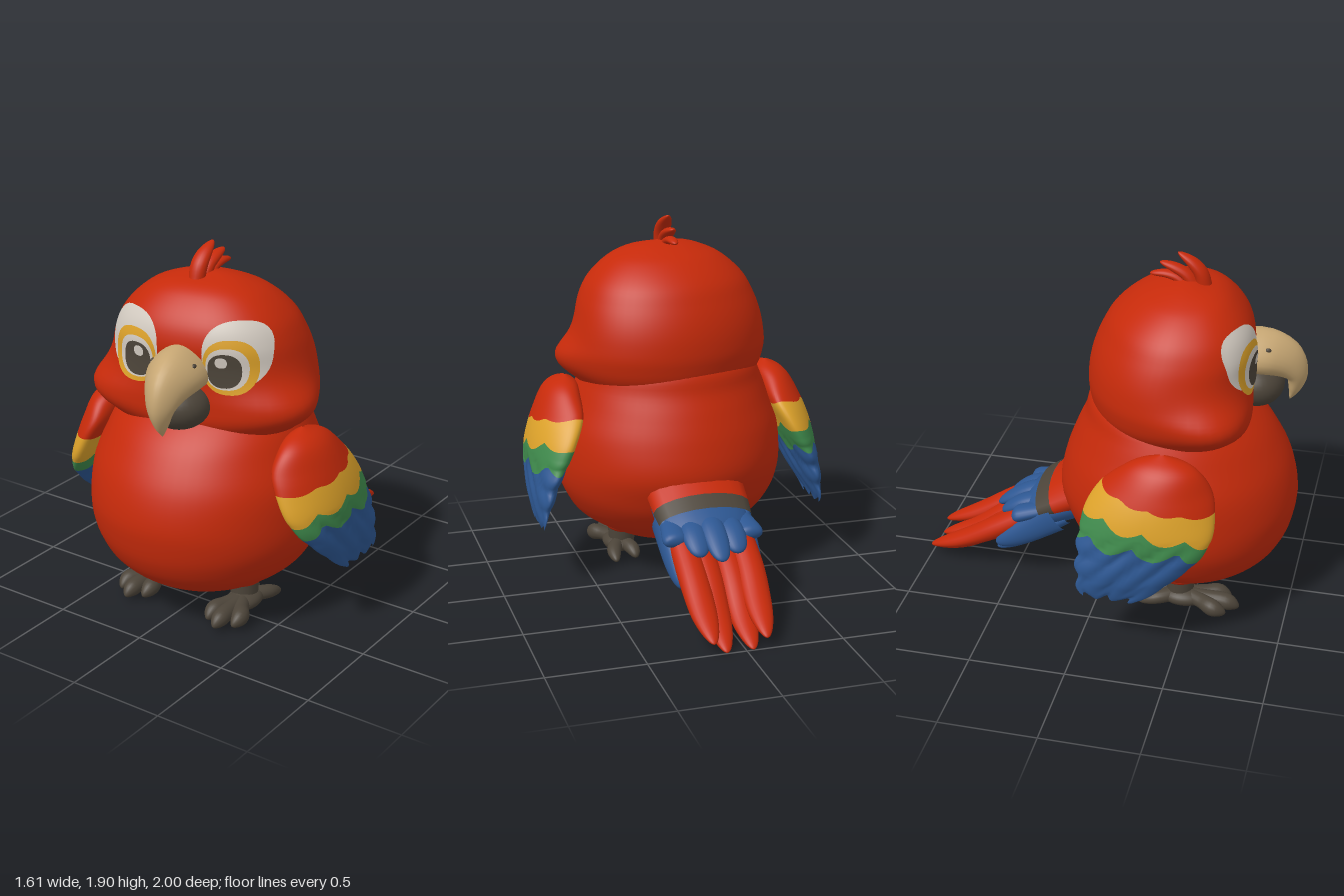
import * as THREE from 'three';

const mat = (name, color) => Object.assign(new THREE.MeshStandardMaterial({ color }), { name });
const red = mat('red plumage', 0xc62a0a), blue = mat('blue feathers', 0x2d5792);
const yellow = mat('yellow feathers', 0xdda22a), green = mat('green feathers', 0x3f8a4c);
const grey = mat('dark grey', 0x4c4439), horn = mat('beak horn', 0xc6a673);
const white = mat('eye white', 0xd2cac0);

// Closed-loop surface: fn(u, v) gives a point, v wraps around
function surface(rows, cols, fn) {
  const pos = [], idx = [];
  for (let i = 0; i <= rows; i++)
    for (let j = 0; j < cols; j++) pos.push(...fn(i / rows, j / cols));
  for (let i = 0; i < rows; i++)
    for (let j = 0; j < cols; j++) {
      const k = (j + 1) % cols, a = i * cols + j, b = i * cols + k;
      idx.push(a, b, b + cols, a, b + cols, a + cols);
    }
  const g = new THREE.BufferGeometry();
  g.setAttribute('position', new THREE.Float32BufferAttribute(pos, 3));
  g.setIndex(idx);
  g.computeVertexNormals();
  return g;
}

// Smooth interpolation of table rows [y, ...values]
function sample(table, y) {
  let i = 0;
  while (i < table.length - 2 && y > table[i + 1][0]) i++;
  const at = k => table[Math.min(Math.max(k, 0), table.length - 1)];
  const [p, a, b, n] = [at(i - 1), at(i), at(i + 1), at(i + 2)];
  const h = b[0] - a[0], u = Math.min(Math.max((y - a[0]) / h, 0), 1);
  return a.slice(1).map((_, c) => {
    const k = c + 1;
    const m0 = (b[k] - p[k]) / (b[0] - p[0]) * h, m1 = (n[k] - a[k]) / (n[0] - a[0]) * h;
    return a[k] * (1 + 2 * u) * (1 - u) ** 2 + m0 * u * (1 - u) ** 2
      + b[k] * u * u * (3 - 2 * u) + m1 * u * u * (u - 1);
  });
}

// Stacked sections between two heights, point(y, angle) from the front
function stack(table, point, rows = 56, cols = 64) {
  const y0 = table[0][0], y1 = table[table.length - 1][0];
  return surface(rows, cols, (u, v) =>
    point(y0 + (y1 - y0) * (1 - Math.cos(Math.PI * u)) / 2, 2 * Math.PI * v));
}

// Elliptical sweep through points [x, y, z, sideways radius, other radius];
// round closes the end, pinch narrows the upper side
function sweep(pts, round = true, pinch = 0, rows = 20, cols = 20) {
  const path = new THREE.CatmullRomCurve3(pts.map(p => new THREE.Vector3(p[0], p[1], p[2])));
  const size = new THREE.CatmullRomCurve3(pts.map(p => new THREE.Vector3(p[3], p[4], 0)));
  return surface(rows, cols, (u, v) => {
    const t = round ? Math.sin(u * Math.PI / 2) : u;
    const p = path.getPoint(t), T = path.getTangent(t), r = size.getPoint(t);
    const N = T.clone().cross(new THREE.Vector3(1, 0, 0)).normalize(), S = N.clone().cross(T);
    const cap = round ? Math.sqrt(Math.max(0, 1 - t ** 8)) : 1, f = 2 * Math.PI * v;
    return p.addScaledVector(S, Math.max(0, r.x) * cap * Math.cos(f) * (1 - pinch * Math.sin(f)))
      .addScaledVector(N, Math.max(0, r.y) * cap * Math.sin(f)).toArray();
  });
}

// Rows: [y, half width, front z, back z]
const bodyTable = [[0.13, 0, 0.42, 0.4], [0.15, 0.2, 0.62, 0.22], [0.2, 0.34, 0.76, 0.11],
  [0.3, 0.49, 0.89, -0.06], [0.4, 0.56, 0.955, -0.16], [0.5, 0.6, 0.985, -0.21], [0.63, 0.61, 0.998, -0.25],
  [0.8, 0.595, 0.96, -0.22], [0.95, 0.54, 0.88, -0.165], [1.05, 0.5, 0.8, -0.12], [1.15, 0.44, 0.68, -0.09],
  [1.25, 0.3, 0.5, 0]];
const headTable = [[1.0, 0, 0.36, 0.34], [1.03, 0.38, 0.64, 0.03], [1.08, 0.475, 0.72, -0.06],
  [1.2, 0.52, 0.735, -0.1], [1.3, 0.52, 0.735, -0.1], [1.4, 0.505, 0.735, -0.08], [1.5, 0.475, 0.74, -0.04],
  [1.6, 0.42, 0.71, 0.02], [1.7, 0.31, 0.63, 0.14], [1.75, 0.2, 0.55, 0.25], [1.775, 0.09, 0.44, 0.34],
  [1.783, 0, 0.4, 0.39]];

function bodyPoint(y, f) {
  const [w, zf, zb] = sample(bodyTable, y);
  return [w * Math.sin(f), y, (zf + zb) / 2 + (zf - zb) / 2 * Math.cos(f)];
}

// Head section: flattened face, with full cheeks on both sides
function headPoint(y, f) {
  const [w, zf, zb] = sample(headTable, y), s = Math.sin(f), c = Math.cos(f);
  const flat = c > 0 ? (Math.abs(s) ** 2.4 + c ** 2.4) ** (-1 / 2.4) : 1;
  const side = Math.acos(Math.min(1, Math.max(-1, c)));
  const r = flat * (1 + 0.2 * Math.exp(-(((side - 1.05) / 0.52) ** 2) - ((y - 1.17) / 0.12) ** 2));
  return [w * s * r, y, (zf + zb) / 2 + (zf - zb) / 2 * c * r];
}

// Thin rounded plate lying on the front of the head
function facePatch(cx, cy, rx, ry, lift) {
  return surface(10, 40, (u, v) => {
    const f = 2 * Math.PI * v, C = Math.cos(f), S = Math.sin(f);
    const r = (1 - u) * (Math.abs(C) ** 2.4 + Math.abs(S) ** 2.4) ** (-1 / 2.4);
    const x = cx + rx * r * C, y = cy + ry * r * S;
    let lo = -1.5, hi = 1.5;
    for (let k = 0; k < 24; k++) {
      const mid = (lo + hi) / 2;
      if (headPoint(y, mid)[0] < x) lo = mid; else hi = mid;
    }
    const n = new THREE.Vector3(x, y - 1.35, headPoint(y, lo)[2] - 0.33).normalize();
    return new THREE.Vector3(...headPoint(y, lo)).addScaledVector(n, lift).toArray();
  });
}

// Wing rows: [y, inner x, outer x, front z, back z]
const wingTable = [[0.32, 0.755, 0.785, 0.27, 0.04], [0.36, 0.745, 0.795, 0.34, 0.02], [0.42, 0.72, 0.8, 0.42, 0.01],
  [0.5, 0.68, 0.805, 0.51, 0], [0.6, 0.64, 0.805, 0.61, 0], [0.7, 0.6, 0.8, 0.665, 0],
  [0.8, 0.565, 0.78, 0.67, 0.02], [0.9, 0.52, 0.745, 0.65, 0.08], [1.0, 0.5, 0.695, 0.59, 0.19],
  [1.05, 0.51, 0.645, 0.52, 0.27], [1.085, 0.56, 0.57, 0.4, 0.38]];
const wave = x => Math.abs(Math.sin(x));
const wingEdges = [() => 1.085, q => 0.875 - 0.045 * q - 0.015 * wave(6 * q),
  q => 0.76 - 0.05 * q - 0.045 * wave(5 * q), q => 0.67 - 0.015 * q - 0.06 * wave(4.5 * q + 0.5),
  q => 0.365 - 0.035 * wave(4.5 * q + 0.5)];

function wingBand(k, s) {
  return surface(18, 64, (u, v) => {
    const f = -2 * Math.PI * v * s, q = Math.cos(f), t = k ? u : u * u;
    const y = wingEdges[k](q) + (wingEdges[k + 1](q) - wingEdges[k](q)) * t;
    const [xi, xo, zf, zb] = sample(wingTable, y), low = Math.min(1, Math.max(0, (0.72 - y) / 0.1));
    const lobe = q < 0 ? 0.025 : 0.008;
    const z = (zf + zb) / 2 + (zf - zb) / 2 * q + lobe * q * low * (wave(28 * y) - 0.5);
    const thin = Math.sqrt(Math.min(1, Math.max(0, (y - wingEdges[4](q)) / 0.1)));
    const ridge = 1 - 0.2 * low * (1 - wave(25 * (z - y)));
    // the upper wing wraps round the body
    const wrap = 0.06 * q * q * THREE.MathUtils.smoothstep(y, 0.5, 0.85) * (1 - THREE.MathUtils.smoothstep(y, 0.9, 1.08));
    return [s * ((xi + xo) / 2 - wrap + (xo - xi) / 2 * thin * ridge * Math.sin(f)), y, z];
  });
}

export function createModel() {
  const model = new THREE.Group();
  const add = (parent, name, geo, material) => {
    const m = new THREE.Mesh(geo, material);
    m.name = name;
    parent.add(m);
    return m;
  };
  const group = name => {
    const g = new THREE.Group();
    g.name = name;
    model.add(g);
    return g;
  };
  const ball = (parent, name, p, r, material) => {
    const m = add(parent, name, new THREE.SphereGeometry(1, 32, 20), material);
    m.position.set(...p);
    m.scale.set(...r);
  };

  add(model, 'body', stack(bodyTable, bodyPoint), red);

  // Head, turned a little to its left
  const pivot = group('head'), head = new THREE.Group();
  pivot.position.z = 0.33;
  pivot.rotation.y = 0.19;
  head.position.z = -0.33;
  pivot.add(head);
  add(head, 'skull', stack(headTable, headPoint), red);
  for (const s of [-1, 1]) {
    add(head, 'eyePatch', facePatch(s * 0.268, 1.475, 0.152, 0.155, 0.005), white);
    add(head, 'eyeRing', facePatch(s * 0.246, 1.415, 0.126, 0.132, 0.01), yellow);
    add(head, 'eyeball', facePatch(s * 0.232, 1.408, 0.098, 0.1, 0.015), white);
    add(head, 'pupil', facePatch(s * 0.221, 1.4, 0.077, 0.081, 0.02), grey);
    add(head, 'eyeGlint', facePatch(s * 0.206, 1.44, 0.027, 0.025, 0.025), white);
    ball(head, 'nostril', [s * 0.108, 1.435, 0.8], [0.01, 0.012, 0.016], grey);
  }
  add(head, 'upperBeak', sweep([[0, 1.39, 0.62, 0.155, 0.11], [0, 1.39, 0.79, 0.143, 0.115],
    [0, 1.34, 0.9, 0.105, 0.1], [0, 1.26, 0.957, 0.07, 0.06], [0, 1.17, 0.95, 0.04, 0.034],
    [0, 1.11, 0.93, 0.012, 0.012]], true, 0.3, 28, 28), horn);
  ball(head, 'lowerBeak', [0, 1.21, 0.755], [0.16, 0.12, 0.145], grey);

  // Crest feathers
  const crest = group('crest');
  [[0.47, 0.42, 1.86, 0.34, 1.915], [0.42, 0.33, 1.83, 0.25, 1.855], [0.38, 0.28, 1.795, 0.2, 1.79]]
    .forEach(([z0, z1, y1, z2, y2], i) => add(crest, 'crestFeather', sweep([
      [0, 1.73, z0 + 0.01, 0.04, 0.04], [0, (1.76 + y1) / 2, (z0 + z1) / 2 + 0.015, 0.045 - i * 0.006, 0.036 - i * 0.006],
      [0, y1, z1, 0.042 - i * 0.006, 0.03 - i * 0.005], [0, y2, z2, 0.026, 0.016]]), red));

  // Wings in four scalloped bands
  for (const s of [-1, 1]) {
    const wing = group(s > 0 ? 'leftWing' : 'rightWing');
    [['shoulder', red], ['yellowBand', yellow], ['greenBand', green], ['flightFeathers', blue]]
      .forEach(([name, m], k) => add(wing, name, wingBand(k, s), m));
  }

  // Tail: root bands, blue coverts and long red feathers
  const tail = group('tail');
  const along = (d, a, b, lift = 0) => [0, 0.53 - 0.49 * d + lift, -0.12 - 0.87 * d, a, b];
  add(tail, 'tailRoot', sweep([along(-0.08, 0.27, 0.14, 0.03), along(0.16, 0.26, 0.11, 0.035)], false), red);
  add(tail, 'tailBand', sweep([along(0.16, 0.26, 0.112, 0.035), along(0.25, 0.25, 0.1, 0.038)], false), grey);
  add(tail, 'tailCore', sweep([along(0.02, 0.25, 0.13, -0.01), along(0.18, 0.252, 0.123), along(0.3, 0.235, 0.11),
    along(0.42, 0.17, 0.065)]), blue);
  for (let i = -2; i <= 2; i++) {
    const k = Math.abs(i), x = i * 0.1, e = [-0.63, -0.58, -0.49][k];
    const yTop = z => 0.6 + 0.63 * (z + 0.25) - k * 0.015;
    add(tail, 'upperCovert', sweep([[x * 0.9, yTop(-0.32) - 0.08, -0.32, 0.06, 0.035],
      [x, yTop(-0.45) - 0.035, -0.45, 0.066, 0.042], [x, yTop(e) - 0.025, e, 0.058, 0.03]]), blue);
  }
  for (const x of [-0.18, 0.18])
    add(tail, 'sideCovert', sweep([[x * 1.22, 0.43, -0.25, 0.042, 0.09], [x * 1.18, 0.3, -0.43, 0.042, 0.07],
      [x * 1.1, 0.2, -0.59, 0.04, 0.045]]), blue);
  for (const x of [-0.15, -0.05, 0.05, 0.15])
    add(tail, 'lowerCovert', sweep([[x, 0.41, -0.2, 0.07, 0.045], [x * 1.05, 0.27, -0.4, 0.068, 0.045],
      [x, 0.145, -0.6, 0.045, 0.03]]), blue);
  for (const [x0, x1, tip, up] of [[-0.15, -0.105, 0.07, 0.03], [-0.06, -0.035, 0.018, 0], [0.07, 0.1, 0.018, 0],
    [0.155, 0.165, 0.07, 0.03]])
    add(tail, 'tailFeather', sweep([[x0, 0.42 + up, -0.3, 0.07, 0.06], [x0, 0.25 + up, -0.58, 0.075, 0.06],
      [(x0 + x1) / 2, 0.085 + tip, -0.8, 0.07, 0.045], [x1, tip, -1, 0.045, 0.026]]), red);

  // Legs with three front and two rear toes
  for (const s of [-1, 1]) {
    const leg = group(s > 0 ? 'leftLeg' : 'rightLeg');
    ball(leg, 'thigh', [s * 0.235, 0.2, 0.43], [0.11, 0.055, 0.12], red);
    const shank = add(leg, 'shank', new THREE.CylinderGeometry(0.075, 0.07, 0.13, 20), grey);
    shank.position.set(s * 0.25, 0.115, 0.44);
    ball(leg, 'footPad', [s * 0.265, 0.075, 0.46], [0.085, 0.05, 0.12], grey);
    for (const [dx, z] of [[-0.065, 0.71], [0.01, 0.76], [0.085, 0.7]]) {
      const x = s * (0.27 + dx), m = s * (0.265 + dx * 0.6);
      add(leg, 'frontToe', sweep([[s * 0.26, 0.08, 0.46, 0.04, 0.04], [m, 0.08, 0.57, 0.042, 0.038],
        [x, 0.075, z - 0.07, 0.046, 0.046], [x, 0.05, z, 0.028, 0.03]]), grey);
    }
    for (const [dx, z] of [[-0.045, 0.26], [0.055, 0.23]])
      add(leg, 'rearToe', sweep([[s * 0.26, 0.08, 0.44, 0.04, 0.04], [s * (0.265 + dx), 0.072, 0.33, 0.04, 0.036],
        [s * (0.265 + dx * 1.2), 0.042, z, 0.024, 0.022]]), grey);
  }
  return model;
}
